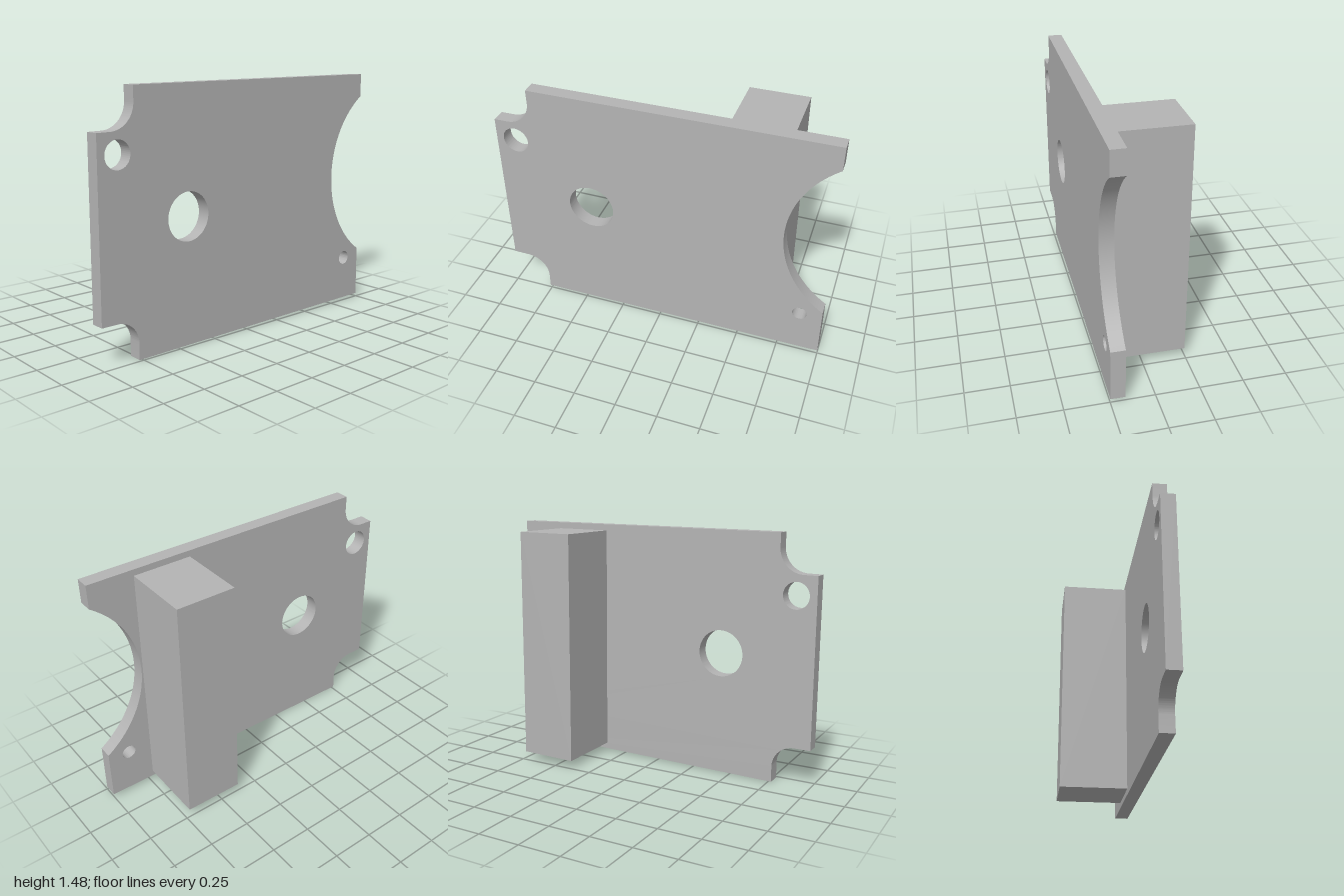
import * as THREE from 'three';
import { toCreasedNormals } from 'three/addons/utils/BufferGeometryUtils.js';

// Profiles are drawn as (u, y) with u = -z, then extruded along +x.
function slab(shape, x0, x1, material, name) {
  const geometry = new THREE.ExtrudeGeometry(shape, {
    depth: x1 - x0, bevelEnabled: false, curveSegments: 48,
  });
  geometry.translate(0, 0, x0);
  geometry.rotateY(Math.PI / 2);
  const mesh = new THREE.Mesh(toCreasedNormals(geometry, 0.5), material);
  mesh.name = name;
  return mesh;
}

export function createModel() {
  const grey = new THREE.MeshStandardMaterial({ color: 0xb4b4b4 });
  grey.name = 'plain grey';
  const model = new THREE.Group();
  model.name = 'bracketPlate';

  // Plate outline: two filleted corner notches and one large arc cut
  const outline = new THREE.Shape();
  outline.moveTo(-0.767, 0);
  outline.lineTo(1, 0.02);
  outline.lineTo(0.998, 0.332);
  const cx = 1.334, cy = 0.837;
  const r = Math.hypot(0.998 - cx, 0.332 - cy);
  outline.absarc(cx, cy, r,
    Math.atan2(0.332 - cy, 0.998 - cx), Math.atan2(1.334 - cy, 0.987 - cx), true);
  outline.lineTo(0.987, 1.475);
  outline.lineTo(-0.777, 1.458);
  outline.lineTo(-0.776, 1.375);
  outline.absarc(-0.921, 1.375, 0.145, 0, -Math.PI / 2, true);
  outline.lineTo(-1, 1.229);
  outline.lineTo(-0.997, 0.229);
  outline.lineTo(-0.902, 0.229);
  outline.absarc(-0.902, 0.093, 0.136, Math.PI / 2, 0, true);
  outline.closePath();

  // Round through holes
  for (const [u, y, radius] of [[-0.878, 1.112, 0.078], [-0.426, 0.737, 0.139], [0.866, 0.289, 0.043]]) {
    const hole = new THREE.Path();
    hole.absarc(u, y, radius, 0, Math.PI * 2, true);
    outline.holes.push(hole);
  }
  model.add(slab(outline, 0, 0.083, grey, 'plate'));

  // Upright block on the inner side of the plate
  const block = new THREE.Shape([[0.376, 0.05], [0.724, 0.053], [0.714, 1.435], [0.366, 1.432]]
    .map(([u, y]) => new THREE.Vector2(u, y)));
  model.add(slab(block, -0.411, 0, grey, 'block'));

  // The whole piece sits with a very slight yaw
  model.rotation.y = -0.0075;
  model.position.x = 0.158;
  return model;
}
